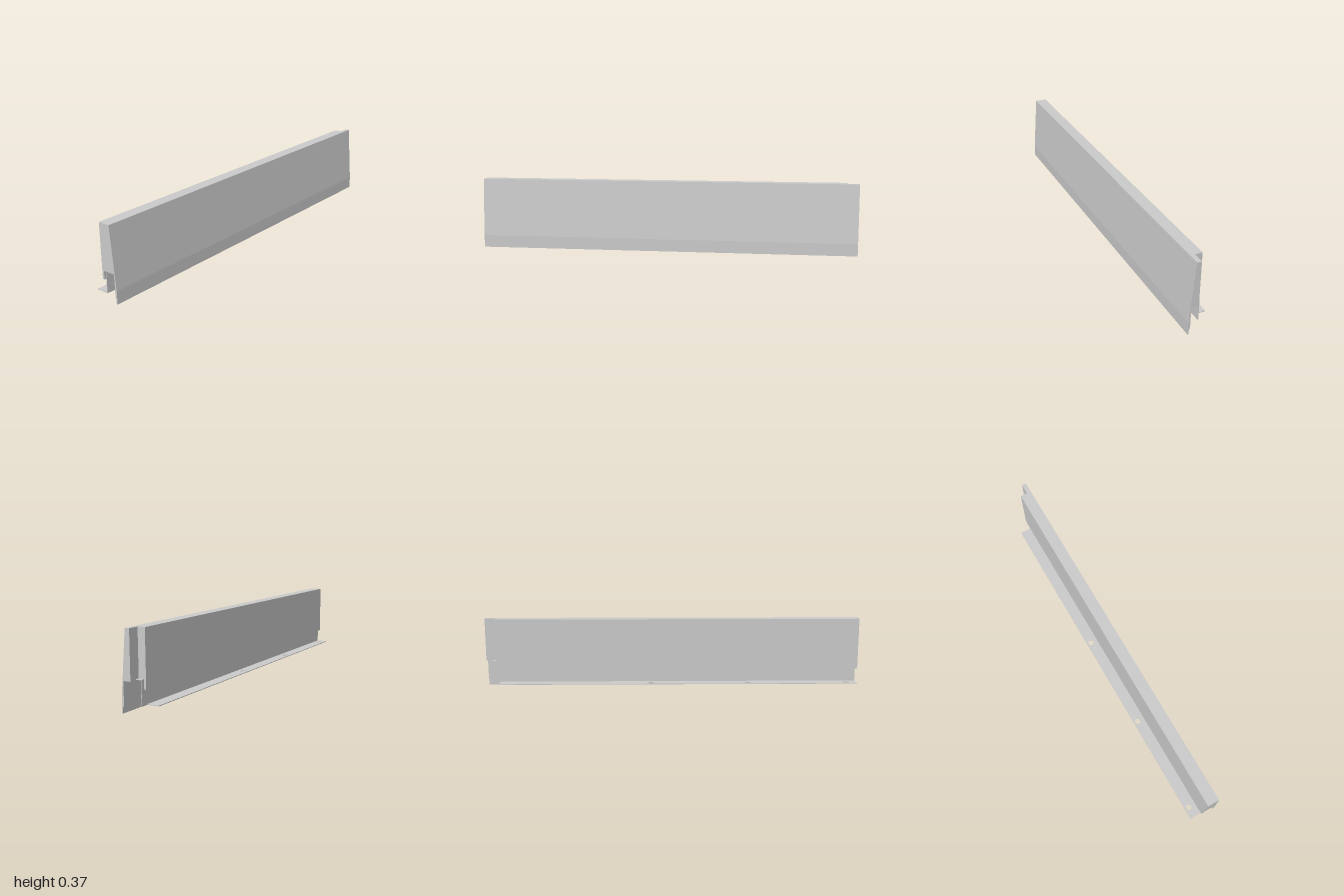
import * as THREE from 'three';

export function createModel() {
  const group = new THREE.Group();
  const material = new THREE.MeshStandardMaterial({ color: 0xcccccc });

  const add = (name, geometry) => {
    const mesh = new THREE.Mesh(geometry, material);
    mesh.name = name;
    group.add(mesh);
  };
  const outline = (points) => new THREE.Shape(points.map(([x, y]) => new THREE.Vector2(x, y)));
  // cross-section in x, y run along z
  const rail = (name, points, z0, z1) => {
    const geometry = new THREE.ExtrudeGeometry(outline(points), { depth: z1 - z0, bevelEnabled: false });
    add(name, geometry.translate(0, 0, z0));
  };

  // sloping outer side with its thin foot, shared by body and end lap
  const skin = [
    [0.057, 0.143], [0.057, 0.03], [0.0625, 0.03], [0.0625, 0],
    [0.068, 0], [0.068, 0.065], [0.043, 0.372],
  ];
  rail('body', [[-0.018, 0.372], [-0.018, 0.1], [-0.0075, 0.1], [-0.0075, 0.143], ...skin], -0.941, 1);
  rail('endLap', [[0.02, 0.372], [0.02, 0.143], ...skin], -1, -0.941);

  // folded sheet bracket: upright web and its top plate
  rail('bracketWeb', [[-0.0078, 0.029], [-0.0048, 0.029], [-0.0048, 0.144], [0.057, 0.144],
    [0.057, 0.147], [-0.0078, 0.147]], -0.96, 0.99);

  // mounting flange with three screw holes
  const flange = outline([[-0.068, -0.99], [-0.0048, -0.99], [-0.0048, 0.92], [-0.068, 0.92]]);
  for (const z of [-0.11, 0.41, 0.935]) {
    flange.holes.push(new THREE.Path().absarc(-0.045, -z, 0.0145, 0, Math.PI * 2, true));
  }
  const plate = new THREE.ExtrudeGeometry(flange, { depth: 0.0035, bevelEnabled: false, curveSegments: 24 });
  add('mountingFlange', plate.rotateX(-Math.PI / 2).translate(0, 0.029, 0));

  return group;
}
